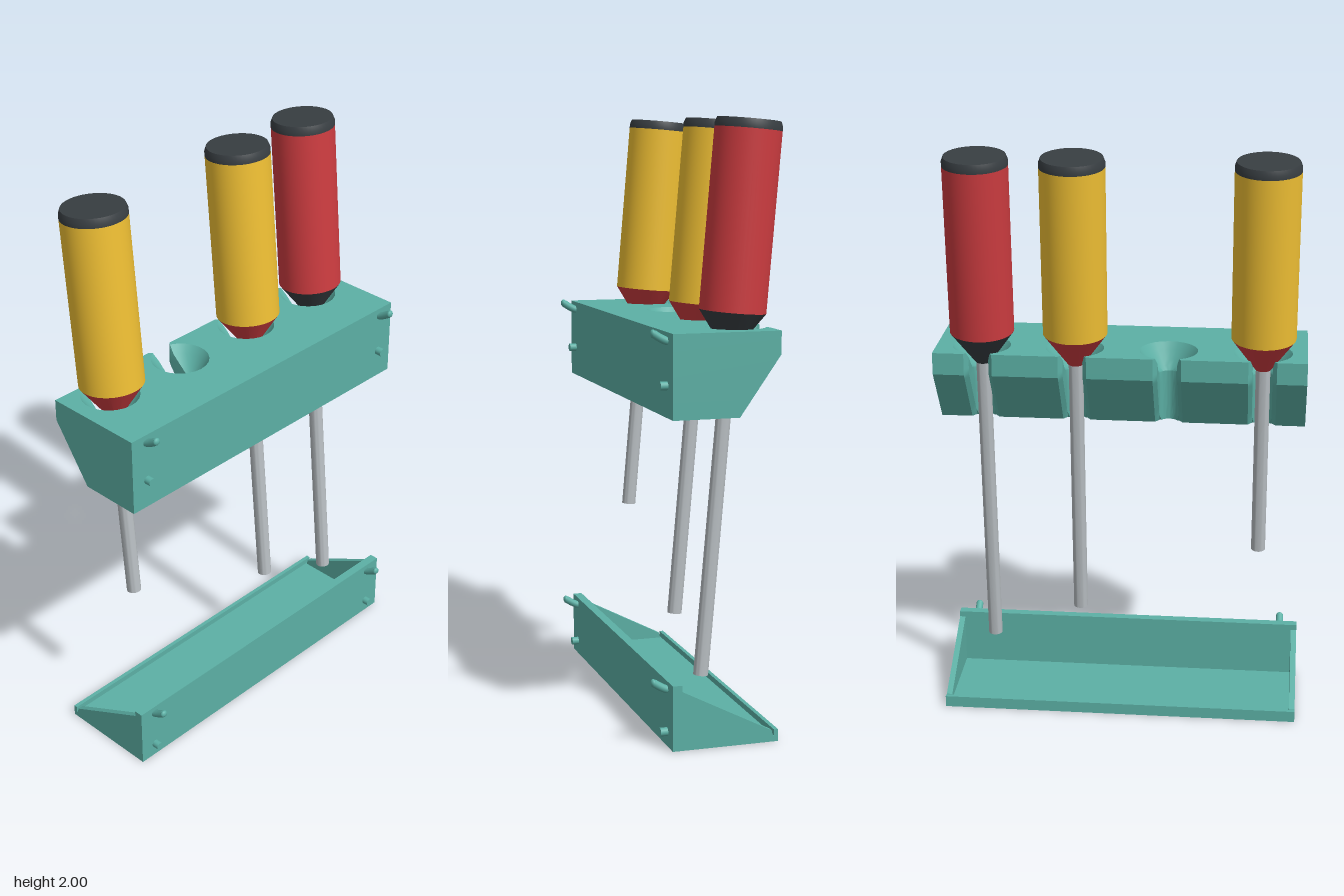
import * as THREE from 'three';
import { toCreasedNormals } from 'three/addons/utils/BufferGeometryUtils.js';

const mat = (color) => new THREE.MeshStandardMaterial({ color });
const TEAL = mat(0x5cb0a5), YELLOW = mat(0xf0c034), RED = mat(0xcd3c40);
const DARK = mat(0x383e42), STEEL = mat(0xb8bec2);

const HALF = 0.622, FRONT = 0.18, BACK = -0.177;
const SLOTS = [0.47, 0.155, -0.16, -0.475];
const LEAN = THREE.MathUtils.degToRad(5);
const TOP_Y = 1.99, TOP_Z = -0.12;

function add(parent, name, geometry, material, x = 0, y = 0, z = 0) {
  const m = new THREE.Mesh(geometry, material);
  m.name = name;
  m.position.set(x, y, z);
  parent.add(m);
  return m;
}

// Plan outline of the rack at height y: a bar with flared, round-ended slots
function rackSection(y) {
  const w = 0.033, flare = 0.047, depth = 0.02, coneEnd = 1.245, top = 1.335;
  const axis = (h) => TOP_Z + (TOP_Y - h) * Math.tan(LEAN);
  const t = Math.max(0, (y - coneEnd) / (top - coneEnd));
  const r = w + t * 0.065;
  const zc = t > 0 ? THREE.MathUtils.lerp(axis(coneEnd), -0.077, t) : axis(y);
  const zb = y < 1.26 ? THREE.MathUtils.lerp(-0.04, BACK, (y - 1.065) / 0.195) : BACK;

  // walk in from the back until the flare or slot meets the round seat
  const halfWidth = (d) => Math.max(w, flare - d * (flare - w) / depth);
  const round = (d) => Math.sqrt(Math.max(0, r * r - (zb + d - zc) ** 2));
  let d = 0;
  while ((d < depth || zb + d < zc) && halfWidth(d) > round(d)) d += 0.0005;
  const a0 = Math.atan2(zb + d - zc, round(d));
  const fd = Math.min(d, depth), h = halfWidth(fd);

  const pts = [[-HALF, FRONT], [HALF, FRONT], [HALF, zb]];
  for (const x of SLOTS) {
    pts.push([x + flare, zb], [x + h, zb + fd]);
    for (let i = 0; i <= 20; i++) {
      const a = a0 + (Math.PI - 2 * a0) * i / 20;
      pts.push([x + r * Math.cos(a), zc + r * Math.sin(a)]);
    }
    pts.push([x - h, zb + fd], [x - flare, zb]);
  }
  pts.push([-HALF, zb]);
  return pts;
}

// Rack: stacked sections joined by walls, closed above and below
function rackGeometry() {
  const ys = [1.065, 1.09, 1.12, 1.16, 1.2, 1.245, 1.26, 1.28, 1.31, 1.335];
  const rings = ys.map((y) => rackSection(y).map(([x, z]) => [x, y, z]));
  const pos = [];
  const tri = (...corners) => corners.forEach((c) => pos.push(...c));
  const n = rings[0].length;
  for (let k = 0; k < rings.length - 1; k++) {
    for (let i = 0; i < n; i++) {
      const j = (i + 1) % n, lo = rings[k], hi = rings[k + 1];
      tri(lo[i], lo[j], hi[j]);
      tri(lo[i], hi[j], hi[i]);
    }
  }
  const cap = (ring, flip) => {
    const flat = ring.map(([x, , z]) => new THREE.Vector2(x, -z));
    for (const [a, b, c] of THREE.ShapeUtils.triangulateShape(flat, [])) {
      if (flip) tri(ring[a], ring[c], ring[b]);
      else tri(ring[a], ring[b], ring[c]);
    }
  };
  cap(rings[0], true);
  cap(rings[rings.length - 1], false);
  const g = new THREE.BufferGeometry();
  g.setAttribute('position', new THREE.Float32BufferAttribute(pos, 3));
  return toCreasedNormals(g, 0.45);
}

// Pegboard pins: a straight peg below and an upturned hook above, on both ends
function addPins(parent, y) {
  for (const x of [-0.56, 0.56]) {
    const peg = add(parent, 'lowerPeg', new THREE.CylinderGeometry(0.014, 0.014, 0.04, 20), TEAL, x, y, 0.184);
    peg.rotation.x = Math.PI / 2;
    const hook = new THREE.CatmullRomCurve3([[0.16, 0], [0.182, 0.001], [0.2, 0.009], [0.226, 0.025]]
      .map(([z, dy]) => new THREE.Vector3(x, y + 0.14 + dy, z)));
    add(parent, 'upperHook', new THREE.TubeGeometry(hook, 16, 0.013, 16), TEAL);
    const tip = add(parent, 'hookTip', new THREE.SphereGeometry(0.013, 16, 10), TEAL, x, y + 0.165, 0.226);
    tip.scale.z = 0.7;
  }
}

// Screwdriver hanging from its leaning handle; end = distance from top to tip
function screwdriver(name, x, end, handle, collar) {
  const g = new THREE.Group();
  g.name = name;
  g.position.set(x, TOP_Y, TOP_Z);
  g.rotation.x = -LEAN;
  const turned = (part, profile, material) => {
    const geo = new THREE.LatheGeometry(profile.map(([r, y]) => new THREE.Vector2(r, y)), 48);
    add(g, part, toCreasedNormals(geo, 0.5), material);
  };
  turned('endCap', [[0, -0.03], [0.108, -0.03], [0.108, -0.016], [0.102, 0], [0, 0]], DARK);
  turned('handle', [[0, -0.607], [0.108, -0.607], [0.108, -0.03], [0, -0.03]], handle);
  turned('collar', [[0, -0.72], [0.027, -0.72], [0.108, -0.607], [0, -0.607]], collar);
  turned('shaft', [[0, -end], [0.0245, -end], [0.0245, -0.7], [0, -0.7]], STEEL);
  return g;
}

// Drip tray: front wall, floor, rear lip and sloping end walls
function tray() {
  const g = new THREE.Group();
  g.name = 'tray';
  const box = (name, y0, y1, z0, z1) => add(g, name,
    new THREE.BoxGeometry(HALF * 2, y1 - y0, z1 - z0), TEAL, 0, (y0 + y1) / 2, (z0 + z1) / 2);
  box('trayFloor', 0, 0.02, -0.165, 0.15);
  box('trayFrontWall', 0, 0.215, 0.149, FRONT);
  box('trayRearLip', 0, 0.04, BACK, -0.163);
  const side = new THREE.Shape([[-0.15, 0], [0.164, 0], [0.155, 0.038], [-0.15, 0.195]]
    .map(([a, b]) => new THREE.Vector2(a, b)));
  for (const x of [-HALF, HALF - 0.02]) {
    const wall = add(g, 'trayEndWall', new THREE.ExtrudeGeometry(side, { depth: 0.02, bevelEnabled: false }), TEAL, x);
    wall.rotation.y = Math.PI / 2;
  }
  addPins(g, 0.048);
  return g;
}

export function createModel() {
  const model = new THREE.Group();
  model.name = 'screwdriverRack';
  const rack = new THREE.Group();
  rack.name = 'rack';
  add(rack, 'rackBlock', rackGeometry(), TEAL);
  addPins(rack, 1.167);
  model.add(rack, tray());
  model.add(
    screwdriver('shortScrewdriver', SLOTS[3], 1.41, YELLOW, RED),
    screwdriver('mediumScrewdriver', SLOTS[1], 1.67, YELLOW, RED),
    screwdriver('longScrewdriver', SLOTS[0], 1.798, RED, DARK),
  );
  return model;
}
